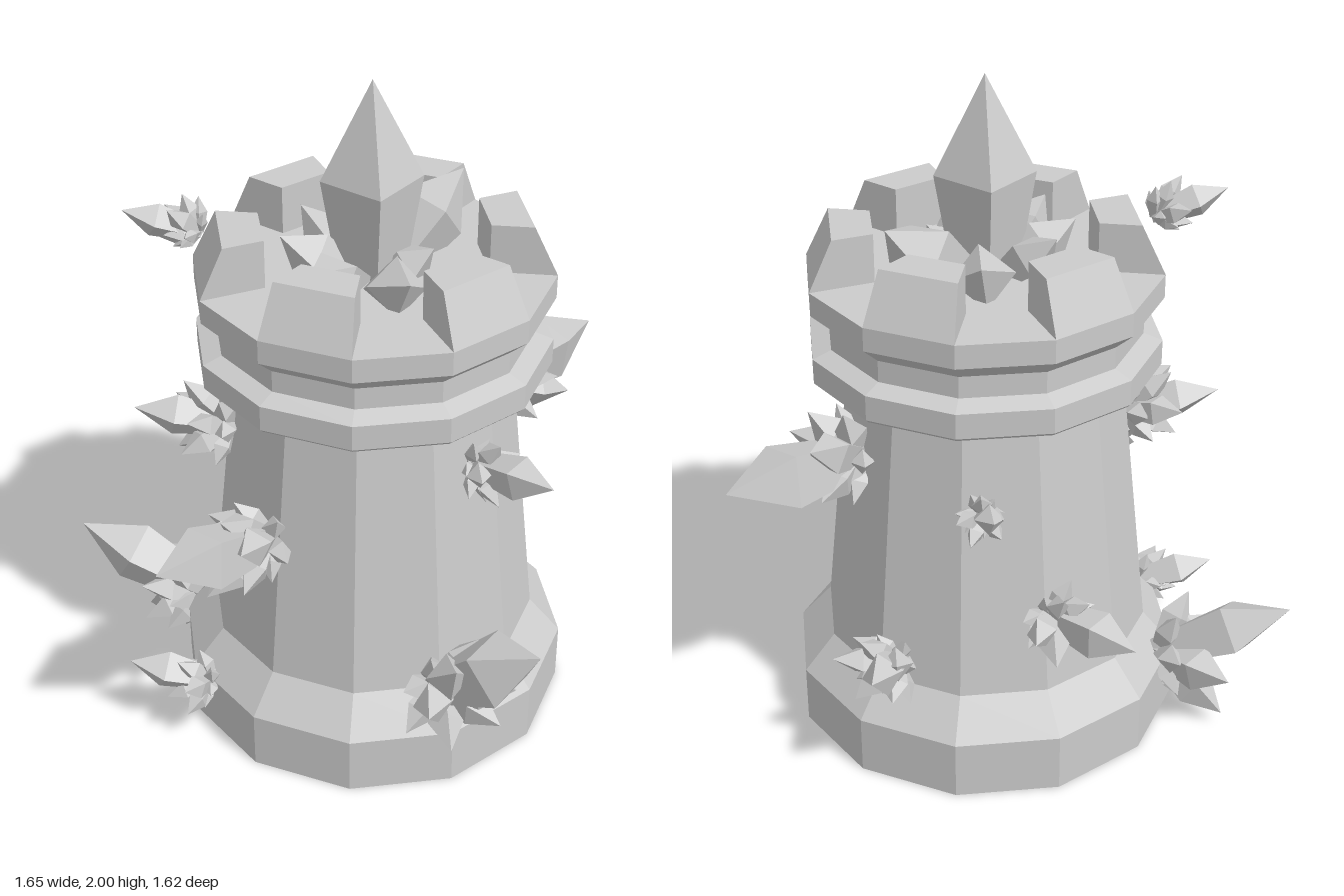
import * as THREE from 'three';

const CX = 0.008, CZ = 0.045; // tower axis
const UP = new THREE.Vector3(0, 1, 0);
const stone = new THREE.MeshStandardMaterial({ color: 0xcccccc, flatShading: true, side: THREE.DoubleSide });
const crystalMat = new THREE.MeshStandardMaterial({ color: 0xcccccc, flatShading: true });

let seed = 7;
const rand = () => (seed = (seed * 16807) % 2147483647) / 2147483647;
const V = (x, y, z) => new THREE.Vector3(x, y, z);
const lathe = (pts, n, start = 0) =>
  new THREE.LatheGeometry(pts.map(p => new THREE.Vector2(...p)), n, start);

// Square crystal of half width w, running from one point to another
function crystal(name, from, to, w, shoulder = 0.58) {
  const dir = to.clone().sub(from), len = dir.length(), r = w * Math.SQRT2;
  const geo = lathe([[0, 0], [r * 0.6, 0], [r, len * shoulder], [0, len]], 4, Math.PI / 4);
  const mesh = new THREE.Mesh(geo, crystalMat);
  mesh.name = name;
  mesh.position.copy(from);
  mesh.quaternion.setFromUnitVectors(UP, dir.normalize());
  return mesh;
}

// One long crystal with two rings of short ones fanning out around it
function cluster({ base, tip, w, side, lift = 0.15 }) {
  const g = new THREE.Group();
  g.name = 'crystalCluster';
  const b = V(...base);
  g.add(crystal('longCrystal', b, V(...tip), w));
  const axis = V(b.x - CX, 0, b.z - CZ).normalize();
  axis.y = lift;
  axis.normalize();
  const u = V(0, 1, 0).cross(axis).normalize(), v = axis.clone().cross(u);
  const rings = [[5, 0.62, 1, 0.3], [7, 1.15, 0.72, 0.9]];
  for (const [count, tilt, scale, offset] of rings) {
    for (let i = 0; i < count; i++) {
      const a = offset + (i + 0.35 * rand()) / count * Math.PI * 2;
      const t = tilt + (rand() - 0.5) * 0.25;
      const len = side * scale * (0.85 + 0.35 * rand());
      const out = u.clone().multiplyScalar(Math.cos(a)).addScaledVector(v, Math.sin(a));
      const dir = axis.clone().multiplyScalar(Math.cos(t)).addScaledVector(out, Math.sin(t));
      g.add(crystal('shortCrystal', b, b.clone().addScaledVector(dir, len), len * 0.17));
    }
  }
  return g;
}

// Wedge block on the rim: a box bent onto the tower's circle, outer face sloping in
function merlon(startDeg) {
  const geo = new THREE.BoxGeometry(1, 1, 1), p = geo.attributes.position;
  for (let i = 0; i < p.count; i++) {
    const top = p.getY(i) > 0;
    const phi = THREE.MathUtils.degToRad(startDeg + (p.getX(i) > 0 ? 30 : 0));
    const r = p.getZ(i) > 0 ? (top ? 0.445 : 0.515) : 0.325;
    p.setXYZ(i, r * Math.sin(phi), top ? 1.585 : 1.44, r * Math.cos(phi));
  }
  geo.computeVertexNormals();
  const mesh = new THREE.Mesh(geo, stone);
  mesh.name = 'merlon';
  return mesh;
}

export function createModel() {
  const model = new THREE.Group();
  model.name = 'crystalTower';

  // Twelve-sided tower, hollow from below
  const tower = new THREE.Group();
  tower.name = 'tower';
  tower.position.set(CX, 0, CZ);
  const body = new THREE.Mesh(lathe([
    [0.59, 0], [0.59, 0.18], [0.495, 0.29], [0.405, 1.14], [0.505, 1.15], [0.515, 1.16],
    [0.515, 1.235], [0.46, 1.255], [0.46, 1.32], [0.515, 1.37], [0.515, 1.44], [0, 1.44],
  ], 12), stone);
  body.name = 'towerBody';
  tower.add(body);
  for (let k = 0; k < 6; k++) tower.add(merlon(-30 + 60 * k));
  model.add(tower);

  // Large crystal standing on the roof, with a ring leaning away from it
  model.add(crystal('spire', V(0, 1.36, CZ), V(0, 2, CZ), 0.102, 0.55));
  const roofTips = [
    [0.34, 1.635, 0.12, 0.075], [0.25, 1.56, -0.14, 0.065], [-0.02, 1.57, -0.19, 0.05],
    [-0.19, 1.56, -0.13, 0.055], [-0.3, 1.55, 0.06, 0.06], [-0.19, 1.55, 0.31, 0.06],
    [0.05, 1.53, 0.22, 0.045],
  ];
  for (const [x, y, z, w] of roofTips)
    model.add(crystal('roofCrystal', V(x * 0.2, 1.4, CZ + (z - CZ) * 0.2), V(x, y, z), w));

  // Clusters growing out of the walls
  const clusters = [
    { base: [-0.06, 0.97, 0.45], tip: [-0.1, 1.02, 0.73], w: 0.045, side: 0.14 },
    { base: [-0.24, 0.3, 0.47], tip: [-0.25, 0.57, 0.81], w: 0.08, side: 0.24 },
    { base: [-0.42, 0.73, -0.01], tip: [-0.83, 0.81, -0.07], w: 0.07, side: 0.22, lift: 0 },
    { base: [0.38, 0.93, 0.21], tip: [0.82, 0.97, 0.3], w: 0.075, side: 0.24 },
    { base: [0.48, 0.35, 0], tip: [0.71, 0.45, -0.11], w: 0.045, side: 0.17 },
    { base: [-0.52, 0.17, -0.17], tip: [-0.67, 0.25, -0.36], w: 0.045, side: 0.14 },
    { base: [-0.22, 0.19, -0.46], tip: [-0.39, 0.4, -0.81], w: 0.07, side: 0.24, lift: 0 },
    { base: [-0.29, 0.95, -0.25], tip: [-0.46, 1.01, -0.47], w: 0.045, side: 0.17 },
    { base: [0.35, 0.88, -0.22], tip: [0.45, 0.94, -0.34], w: 0.03, side: 0.11 },
    { base: [0.22, 0.53, -0.36], tip: [0.22, 0.53, -0.66], w: 0.05, side: 0.17 },
    { base: [-0.32, 1.57, -0.31], tip: [-0.46, 1.65, -0.46], w: 0.035, side: 0.12, lift: 0.6 },
  ];
  for (const c of clusters) model.add(cluster(c));
  return model;
}
